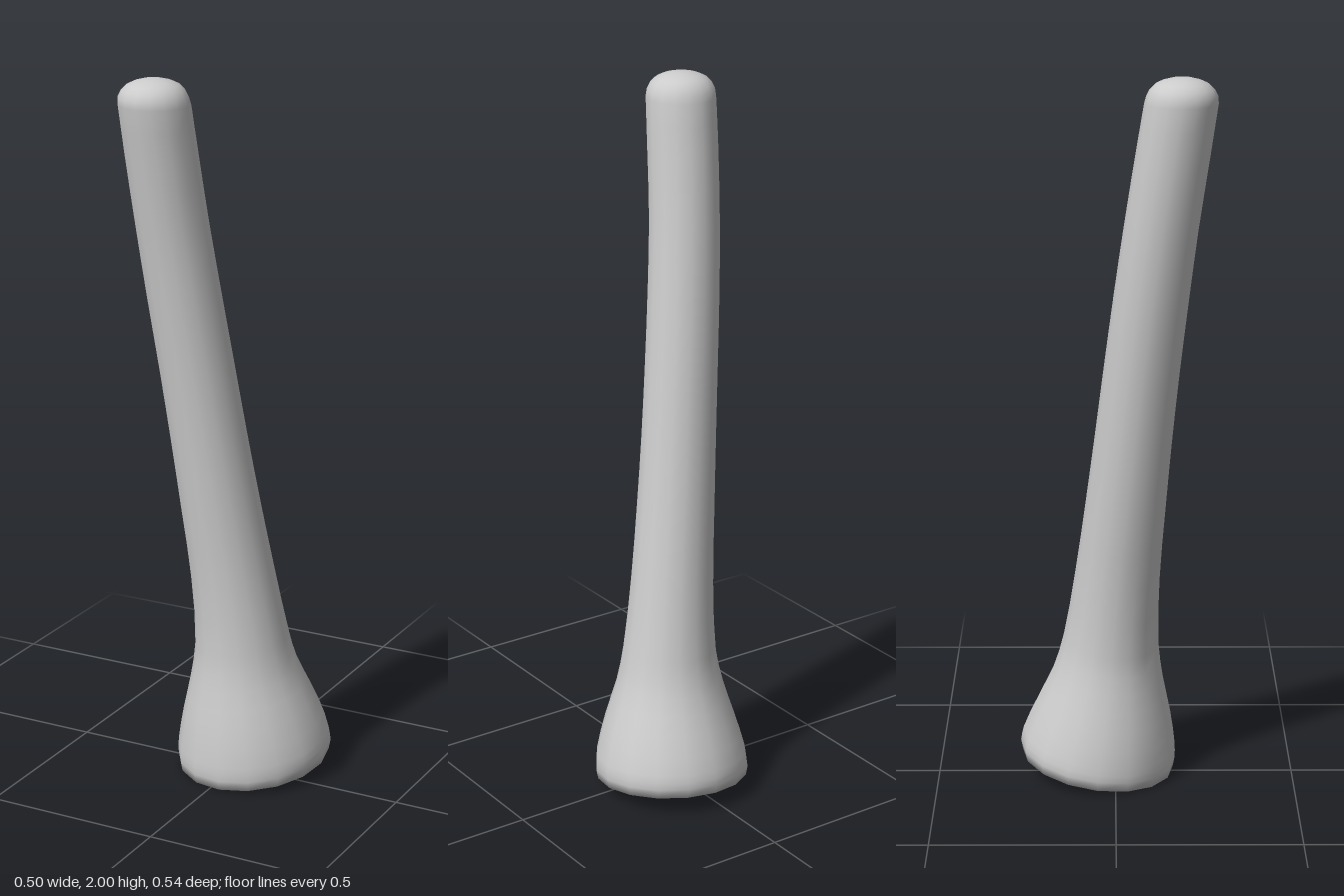
import * as THREE from 'three';

const SIDES = 16;

// Body stations from foot to tip: centre x, y, z, radius
const BODY = [
  [0.03, 0.06, -0.05, 0.219],
  [0.03, 0.1, -0.046, 0.215],
  [0.023, 0.2, -0.032, 0.187],
  [0.015, 0.3, -0.02, 0.154],
  [0.011, 0.4, -0.012, 0.133],
  [-0.01, 0.6, 0.006, 0.117],
  [-0.036, 0.8, 0.027, 0.11],
  [-0.061, 1.0, 0.048, 0.105],
  [-0.085, 1.2, 0.07, 0.102],
  [-0.109, 1.4, 0.094, 0.1],
  [-0.13, 1.6, 0.12, 0.098],
  [-0.145, 1.8, 0.15, 0.098],
  [-0.153, 1.93, 0.17, 0.097],
];

// Rounded tip: height, radius
const TIP = [[1.95, 0.094], [1.968, 0.085], [1.983, 0.07], [1.992, 0.05], [1.998, 0.026]];

function buildRings() {
  const path = new THREE.CatmullRomCurve3(BODY.map(([x, y, z]) => new THREE.Vector3(x, y, z)));
  const widths = new THREE.CatmullRomCurve3(BODY.map(([, y, , r]) => new THREE.Vector3(r, y, 0)));
  const rings = [{ x: 0.03, y: 0.033, z: -0.05, r: 0.214, tx: 0.06, tz: -0.125 }];
  const steps = (BODY.length - 1) * 2;
  for (let i = 0; i <= steps; i++) {
    const p = path.getPoint(i / steps);
    const k = THREE.MathUtils.smoothstep(p.y, 1.5, 1.93);
    const foot = 1 - THREE.MathUtils.smoothstep(p.y, 0.05, 0.3);
    // Each ring leans with the shaft and levels out near the tip
    rings.push({
      x: p.x, y: p.y, z: p.z, r: widths.getPoint(i / steps).x,
      tx: (0.11 - 0.05 * foot) * (1 - k), tz: (-0.11 - 0.015 * foot) * (1 - k),
    });
  }
  for (const [y, r] of TIP) rings.push({ x: -0.155, y, z: 0.172, r, tx: 0, tz: 0 });
  return rings;
}

function createShaftGeometry() {
  const rings = buildRings();
  const pos = [];
  const index = [];
  for (const { x, y, z, r, tx, tz } of rings) {
    for (let j = 0; j < SIDES; j++) {
      const a = (j / SIDES) * Math.PI * 2;
      const dx = r * Math.cos(a);
      const dz = r * Math.sin(a);
      pos.push(x + dx, y + tx * dx + tz * dz, z + dz);
    }
  }
  // Skin between neighbouring rings
  for (let i = 0; i < rings.length - 1; i++) {
    for (let j = 0; j < SIDES; j++) {
      const a = i * SIDES + j;
      const b = i * SIDES + ((j + 1) % SIDES);
      index.push(a, a + SIDES, b, b, a + SIDES, b + SIDES);
    }
  }
  // Closing points for the sole and the tip
  const sole = rings.length * SIDES;
  const tip = sole + 1;
  const last = (rings.length - 1) * SIDES;
  pos.push(rings[0].x, rings[0].y, rings[0].z, -0.155, 2, 0.172);
  for (let j = 0; j < SIDES; j++) {
    const n = (j + 1) % SIDES;
    index.push(sole, j, n, tip, last + n, last + j);
  }
  const geometry = new THREE.BufferGeometry();
  geometry.setAttribute('position', new THREE.Float32BufferAttribute(pos, 3));
  geometry.setIndex(index);
  geometry.computeVertexNormals();
  return geometry;
}

export function createModel() {
  const group = new THREE.Group();
  group.name = 'flaredLeg';
  const shaft = new THREE.Mesh(
    createShaftGeometry(),
    new THREE.MeshStandardMaterial({ color: 0xcccccc }),
  );
  shaft.name = 'shaft';
  group.add(shaft);
  return group;
}
